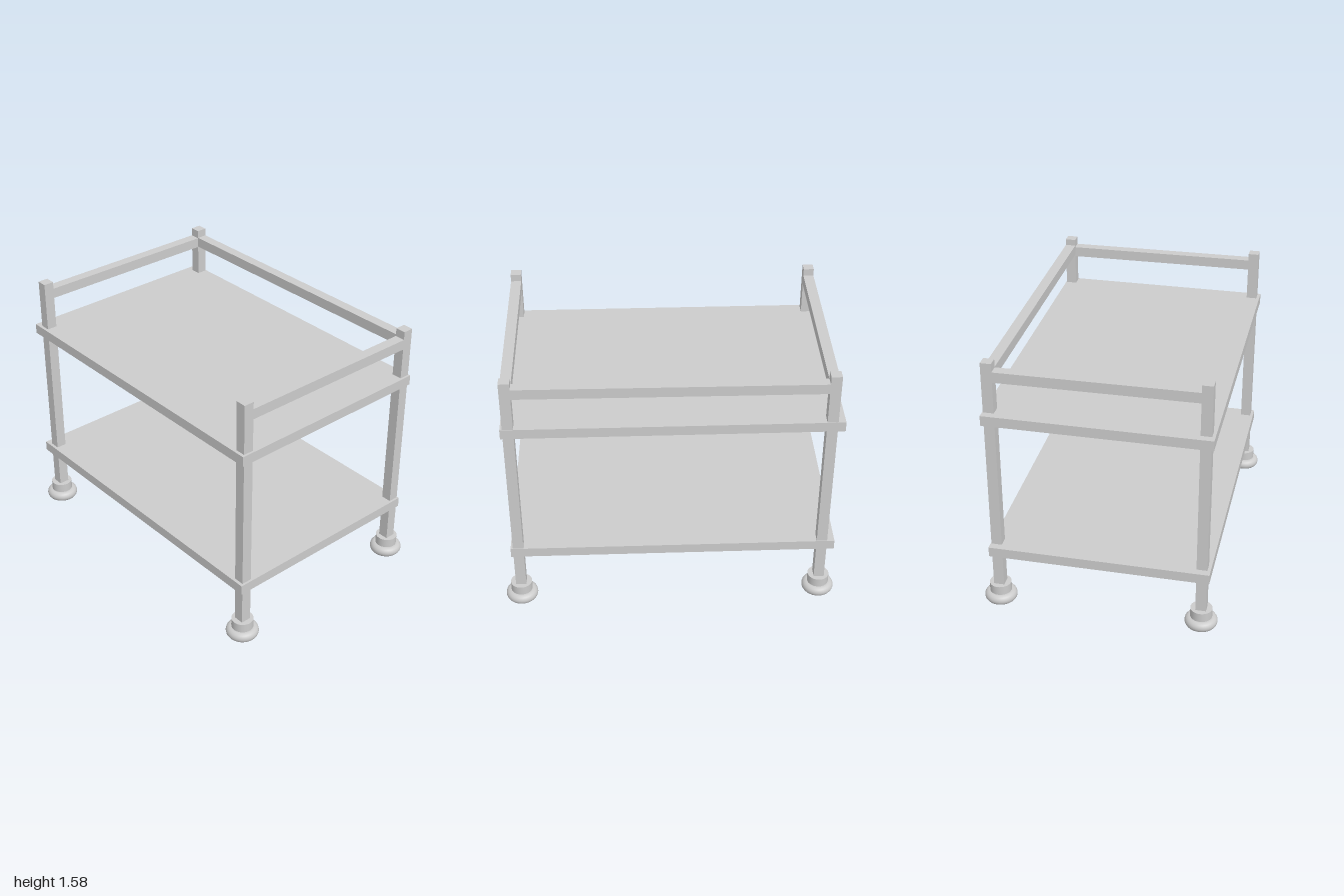
import * as THREE from 'three';

const LEG_X = 0.6, LEG_Z = 0.903, BAR = 0.062;

export function createModel() {
  const cart = new THREE.Group();
  cart.name = 'servingCart';
  const material = new THREE.MeshStandardMaterial({ color: 0xcccccc });

  function add(name, geometry, x, y, z) {
    const mesh = new THREE.Mesh(geometry, material);
    mesh.name = name;
    mesh.position.set(x, y, z);
    cart.add(mesh);
    return mesh;
  }

  // Corner posts, each standing on a round foot with a ring below
  const post = new THREE.BoxGeometry(BAR, 1.455, BAR);
  const collar = new THREE.CylinderGeometry(0.064, 0.064, 0.062, 32);
  const ring = new THREE.TorusGeometry(0.064, 0.032, 16, 40).rotateX(Math.PI / 2);
  for (const sx of [-1, 1]) {
    for (const sz of [-1, 1]) {
      const x = sx * LEG_X, z = sz * LEG_Z;
      add('post', post, x, 0.8475, z);
      add('footCollar', collar, x, 0.089, z);
      add('footRing', ring, x, 0.032, z);
    }
  }

  // Two flat shelves, slightly offset from the posts
  const shelf = new THREE.BoxGeometry(1.285, 0.06, 1.925);
  add('lowerShelf', shelf, -0.007, 0.375, -0.015);
  add('upperShelf', shelf, -0.007, 1.244, -0.015);

  // Short rails at front and back, leaning a little towards the left side
  const shortRail = new THREE.BoxGeometry(2 * LEG_X, 0.062, 0.062);
  for (const [name, z] of [['frontRail', LEG_Z], ['backRail', -LEG_Z]]) {
    add(name, shortRail, 0, 1.497, z).rotation.z = -0.005;
  }

  // One long rail on the left side; the other side stays open
  const longRail = new THREE.BoxGeometry(0.062, 0.062, 2 * LEG_Z);
  add('sideRail', longRail, LEG_X, 1.501, 0).rotation.x = -0.005;

  return cart;
}
